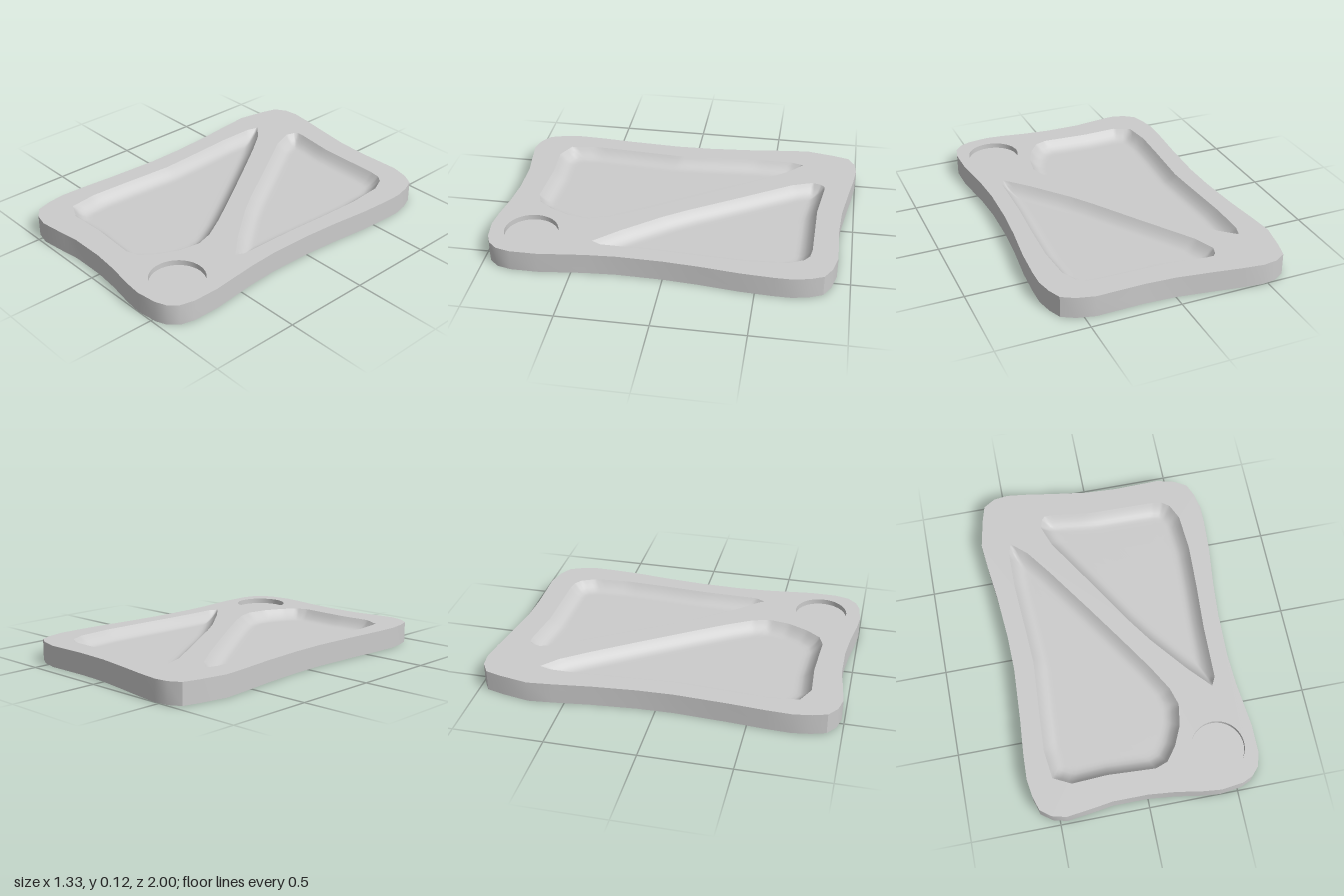
import * as THREE from 'three';
import { toCreasedNormals } from 'three/addons/utils/BufferGeometryUtils.js';

const TOP = 0.12;
const material = new THREE.MeshStandardMaterial({ color: 0xcccccc });

// Outlines as [x, z], clockwise seen from above
const EDGE = [
  [-0.47, -1], [-0.35, -0.985], [-0.2, -0.96], [0, -0.93], [0.18, -0.92], [0.44, -0.925], [0.54, -0.9],
  [0.61, -0.86], [0.64, -0.79], [0.66, -0.7], [0.66, -0.6], [0.65, -0.42], [0.625, -0.2], [0.61, 0],
  [0.605, 0.25], [0.615, 0.42], [0.645, 0.68], [0.645, 0.83], [0.625, 0.91], [0.58, 0.96], [0.52, 0.985],
  [0.4, 1], [0.3, 0.99], [0.15, 0.965], [0, 0.95], [-0.2, 0.95], [-0.3, 0.965], [-0.46, 0.985],
  [-0.54, 0.965], [-0.6, 0.92], [-0.625, 0.84], [-0.64, 0.74], [-0.635, 0.6], [-0.62, 0.4], [-0.605, 0.1],
  [-0.61, -0.1], [-0.63, -0.35], [-0.655, -0.55], [-0.67, -0.7], [-0.64, -0.86], [-0.615, -0.95], [-0.55, -0.99],
];
const LEFT_WELL = [
  [-0.5, -0.68], [-0.41, -0.6], [-0.3, -0.45], [-0.13, -0.2], [0.03, 0.04], [0.16, 0.24], [0.24, 0.38],
  [0.27, 0.48], [0.25, 0.6], [0.2, 0.71], [0.14, 0.79], [0.07, 0.815], [-0.2, 0.8], [-0.4, 0.81],
  [-0.5, 0.76], [-0.52, 0.6], [-0.51, 0.4], [-0.49, 0.08], [-0.5, -0.1], [-0.52, -0.4], [-0.52, -0.61],
];
const RIGHT_WELL = [
  [-0.27, -0.82], [-0.23, -0.82], [0, -0.79], [0.38, -0.785], [0.44, -0.775], [0.48, -0.745], [0.52, -0.66],
  [0.535, -0.45], [0.525, -0.2], [0.51, 0.05], [0.505, 0.36], [0.48, 0.41], [0.36, 0.28], [0.19, 0.07],
  [0.1, -0.06], [-0.05, -0.3], [-0.26, -0.63], [-0.305, -0.75], [-0.29, -0.8],
];

function subdivide(points, n) {
  return points.flatMap(([x, z], i) => {
    const [x2, z2] = points[(i + 1) % points.length];
    return Array.from({ length: n }, (_, k) => [x + ((x2 - x) * k) / n, z + ((z2 - z) * k) / n]);
  });
}

// Skin between successive closed rings of [x, y, z]
function loft(rings) {
  const n = rings[0].length;
  const index = [];
  for (let r = 0; r < rings.length - 1; r++) {
    for (let i = 0; i < n; i++) {
      const j = (i + 1) % n;
      const a = r * n + i, b = r * n + j, c = b + n, d = a + n;
      index.push(a, d, c, a, c, b);
    }
  }
  const geometry = new THREE.BufferGeometry();
  geometry.setAttribute('position', new THREE.Float32BufferAttribute(rings.flat(2), 3));
  geometry.setIndex(index);
  geometry.computeVertexNormals();
  return geometry;
}

const ringAt = (points, y) => points.map(([x, z]) => [x, y, z]);

function edgeDistance(x, z, points) {
  let best = Infinity;
  points.forEach(([ax, az], i) => {
    const [bx, bz] = points[(i + 1) % points.length];
    const dx = bx - ax, dz = bz - az;
    const t = THREE.MathUtils.clamp(((x - ax) * dx + (z - az) * dz) / (dx * dx + dz * dz), 0, 1);
    best = Math.min(best, Math.hypot(x - ax - t * dx, z - az - t * dz));
  });
  return best;
}

// Hollow whose depth grows with distance from its rim, easing into a flat floor
function well(rim, outline, [cx, cz], depth, slope) {
  const steps = [0, 0.025, 0.05, 0.08, 0.11, 0.15, 0.19, 0.24, 0.3, 0.4, 0.6, 0.8, 1];
  return loft(steps.map((t) => rim.map(([px, pz]) => {
    const x = px + (cx - px) * t, z = pz + (cz - pz) * t;
    const k = t === 0 ? 0 : Math.min(edgeDistance(x, z, outline) / slope, 1);
    return [x, TOP - depth * (1 - (1 - k) ** 2), z];
  })));
}

export function createModel() {
  const group = new THREE.Group();
  const add = (name, geometry) => {
    const mesh = new THREE.Mesh(geometry, material);
    mesh.name = name;
    group.add(mesh);
    return mesh;
  };

  const leftRim = subdivide(LEFT_WELL, 5);
  const rightRim = subdivide(RIGHT_WELL, 5);
  const cup = { x: 0.43, z: 0.765, r: 0.15, depth: 0.03 };
  const cupRim = Array.from({ length: 48 }, (_, i) => {
    const a = (i / 48) * Math.PI * 2;
    return [cup.x + cup.r * Math.cos(a), cup.z + cup.r * Math.sin(a)];
  });

  // Top face with openings for the hollows
  const flipped = (points) => points.map(([x, z]) => new THREE.Vector2(x, -z));
  const face = new THREE.Shape(flipped(EDGE));
  for (const rim of [leftRim, rightRim, cupRim]) face.holes.push(new THREE.Path(flipped(rim)));
  add('topFace', new THREE.ShapeGeometry(face).rotateX(-Math.PI / 2).translate(0, TOP, 0));

  // Outer wall and underside
  add('outerWall', toCreasedNormals(loft([ringAt(EDGE, 0), ringAt(EDGE, TOP)]), 0.6));
  const base = new THREE.Shape(EDGE.map(([x, z]) => new THREE.Vector2(x, z)));
  add('underside', new THREE.ShapeGeometry(base).rotateX(Math.PI / 2));

  // Two food wells either side of the diagonal ridge
  add('leftWell', well(leftRim, LEFT_WELL, [-0.16, 0.25], 0.06, 0.08));
  add('rightWell', well(rightRim, RIGHT_WELL, [0.22, -0.4], 0.06, 0.08));

  // Round cup recess
  add('cupRecessWall', loft([ringAt(cupRim, TOP), ringAt(cupRim, TOP - cup.depth)]));
  add('cupRecessFloor', new THREE.CircleGeometry(cup.r, 48).rotateX(-Math.PI / 2))
    .position.set(cup.x, TOP - cup.depth, cup.z);

  return group;
}
